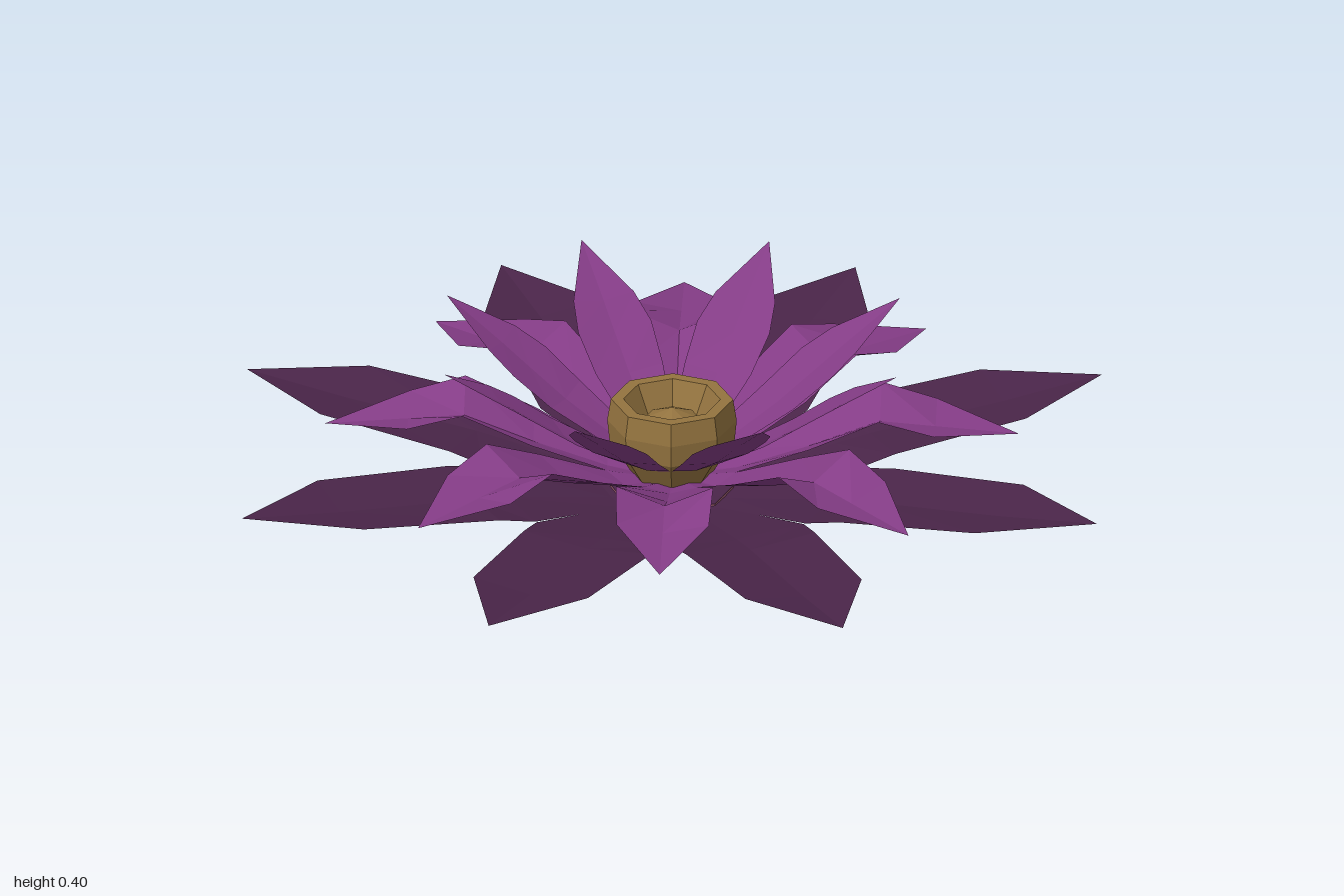
import * as THREE from 'three';

const COUNT = 8;
const DEG = Math.PI / 180;

const paint = (color) => new THREE.MeshStandardMaterial({ color, flatShading: true, side: THREE.DoubleSide });

// One petal along +z; each row is [radius, half width, height of midrib, height of edge]
function petalGeometry(rows) {
  const positions = [];
  const index = [];
  rows.forEach(([r, w, mid, edge], i) => {
    positions.push(-w, edge, r, 0, mid, r, w, edge, r);
    if (i === 0) return;
    for (let j = 0; j < 2; j++) {
      const a = (i - 1) * 3 + j;
      const b = a + 3;
      index.push(a, b, a + 1);
      if (i < rows.length - 1 || j === 0) index.push(b, b + 1, a + 1);
      else index.push(b, b + 1, a + 1);
    }
  });
  const geometry = new THREE.BufferGeometry();
  geometry.setAttribute('position', new THREE.Float32BufferAttribute(positions, 3));
  geometry.setIndex(index);
  geometry.computeVertexNormals();
  return geometry;
}

// A ring of identical petals
function petalRing(name, rows, color, turn) {
  const ring = new THREE.Group();
  ring.name = name;
  const geometry = petalGeometry(rows);
  const material = paint(color);
  for (let i = 0; i < COUNT; i++) {
    const petal = new THREE.Mesh(geometry, material);
    petal.name = 'petal';
    petal.rotation.y = turn + (i * 2 * Math.PI) / COUNT;
    ring.add(petal);
  }
  return ring;
}

// Eight-sided turned part with flat sides facing the axes
function turned(name, profile, color) {
  const points = profile.map(([r, y]) => new THREE.Vector2(r, y));
  const mesh = new THREE.Mesh(new THREE.LatheGeometry(points, COUNT, Math.PI / COUNT), paint(color));
  mesh.name = name;
  return mesh;
}

export function createModel() {
  const flower = new THREE.Group();
  flower.name = 'flower';

  // Wide, nearly flat outer petals
  flower.add(petalRing('outerPetals', [
    [0.02, 0.01, 0.035, 0.035],
    [0.14, 0.06, 0.04, 0.042],
    [0.38, 0.155, 0.08, 0.09],
    [0.46, 0.15, 0.09, 0.105],
    [0.77, 0.135, 0.113, 0.13],
    [1.0, 0, 0.137, 0.137],
  ], 0x4a2549, 0));

  // Middle petals, rising to a crease and drooping at the tip
  flower.add(petalRing('middlePetals', [
    [0.03, 0.015, 0.07, 0.07],
    [0.14, 0.058, 0.09, 0.105],
    [0.3, 0.1, 0.145, 0.18],
    [0.45, 0.105, 0.205, 0.25],
    [0.57, 0.1, 0.195, 0.215],
    [0.75, 0, 0.18, 0.18],
  ], 0x843c86, -23.7 * DEG));

  // Narrow, upright inner petals
  flower.add(petalRing('innerPetals', [
    [0.06, 0.025, 0.105, 0.105],
    [0.14, 0.055, 0.14, 0.148],
    [0.25, 0.078, 0.205, 0.215],
    [0.335, 0.085, 0.265, 0.278],
    [0.4, 0.07, 0.312, 0.322],
    [0.53, 0, 0.4, 0.4],
  ], 0x843c86, 0));

  // Cup-shaped heart with a small dome inside
  flower.add(turned('heart', [
    [0.09, 0.08], [0.135, 0.15], [0.14, 0.2], [0.132, 0.25],
    [0.105, 0.25], [0.07, 0.18], [0.06, 0.205], [0, 0.23],
  ], 0x93733f));

  // Open collar underneath
  flower.add(turned('collar', [[0.14, 0], [0.133, 0.045]], 0x95586a));

  return flower;
}
